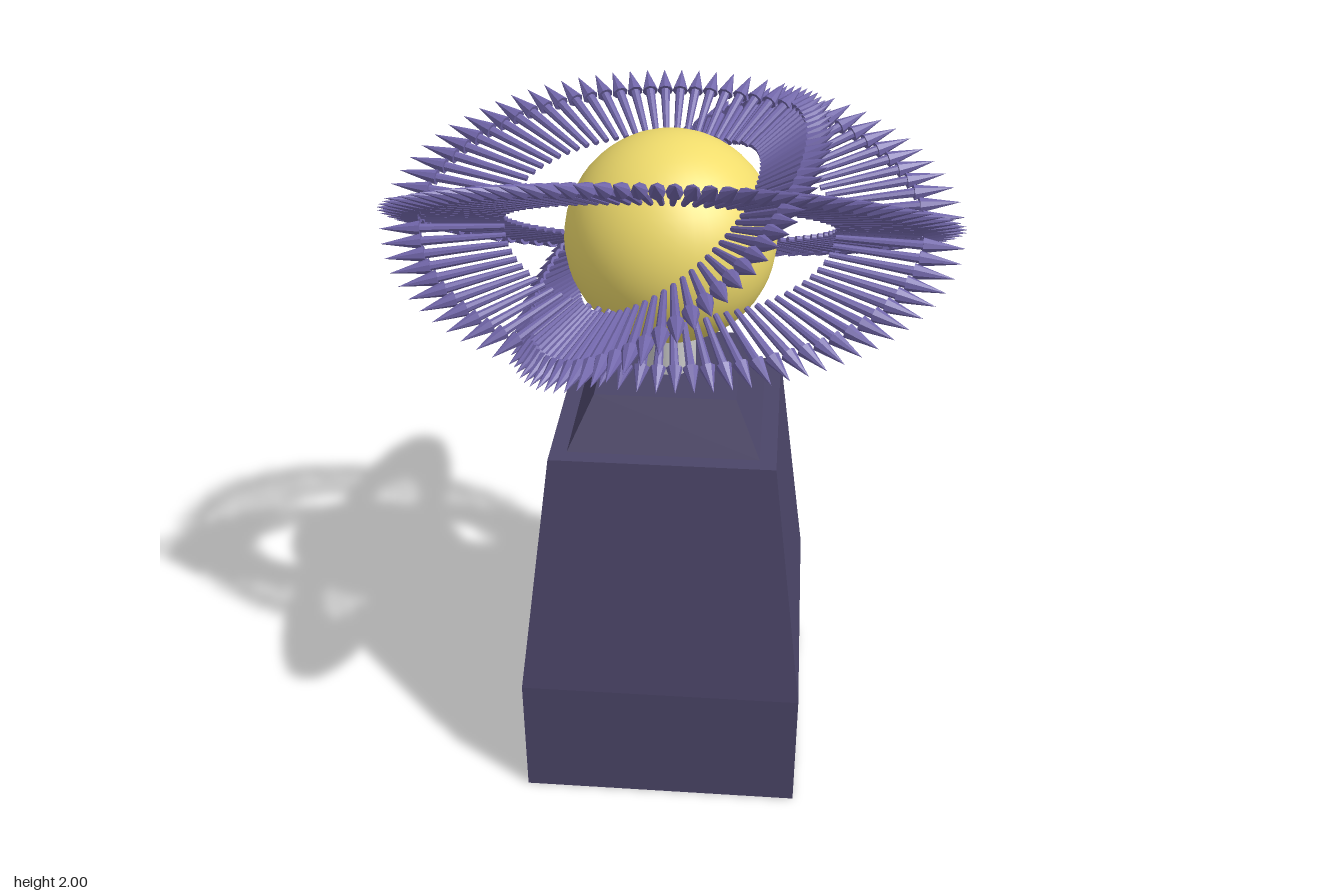
import * as THREE from 'three';
import { mergeGeometries } from 'three/addons/utils/BufferGeometryUtils.js';

const V2 = (x, y) => new THREE.Vector2(x, y);

// One dart: thin shaft widening outwards, then a cone tip; runs along +y
function spikeGeometry(length) {
  const profile = [[0, 0], [0.008, 0], [0.013, 0.67], [0.022, 0.67], [0, 1]];
  return new THREE.LatheGeometry(profile.map(([r, t]) => V2(r, t * length)), 8);
}

// Elliptical ring of radial spikes; longAxis and shortAxis are unit vectors
function spikeRing(name, longAxis, shortAxis, material) {
  const count = 84, inner = 0.565;
  const outline = new THREE.EllipseCurve(0, 0, 0.8, 0.516);
  outline.arcLengthDivisions = 800;
  const up = new THREE.Vector3(0, 1, 0);
  const spikes = outline.getSpacedPoints(count).slice(0, count).map((p) => {
    const tip = longAxis.clone().multiplyScalar(p.x).addScaledVector(shortAxis, p.y);
    const spike = spikeGeometry(tip.length() * (1 - inner));
    spike.applyQuaternion(new THREE.Quaternion().setFromUnitVectors(up, tip.clone().normalize()));
    return spike.translate(tip.x * inner, tip.y * inner, tip.z * inner);
  });
  const ring = new THREE.Mesh(mergeGeometries(spikes), material);
  ring.name = name;
  ring.position.y = 1.715;
  return ring;
}

export function createModel() {
  const model = new THREE.Group();
  model.name = 'spikedOrbMonument';
  const stone = new THREE.MeshStandardMaterial({ color: 0x4b4568, flatShading: true });
  const violet = new THREE.MeshStandardMaterial({ color: 0x7166aa, flatShading: true });
  const gold = new THREE.MeshStandardMaterial({ color: 0xf0dc6c });
  const grey = new THREE.MeshStandardMaterial({ color: 0xcccccc });

  const add = (name, geometry, material, y) => {
    const mesh = new THREE.Mesh(geometry, material);
    mesh.name = name;
    mesh.position.set(0.004, y, 0.008);
    model.add(mesh);
  };

  // Square pedestal: half widths by height
  const steps = [[0, 0], [0.41, 0], [0.41, 0.39], [0.315, 1.14], [0.268, 1.14], [0.197, 1.287], [0, 1.287]];
  const pedestal = new THREE.LatheGeometry(
    steps.map(([half, y]) => V2(half * Math.SQRT2, y)), 4, Math.PI / 4);
  add('pedestal', pedestal, stone, 0);

  // Post and orb
  add('post', new THREE.CylinderGeometry(0.072, 0.072, 0.16, 24), grey, 1.36);
  add('orb', new THREE.SphereGeometry(0.29, 40, 28), gold, 1.68);

  // Two crossing rings along x, one tilted ring along z
  const X = new THREE.Vector3(1, 0, 0), Z = new THREE.Vector3(0, 0, 1);
  const rise = 0.285, run = 0.43;
  for (const [name, side] of [['ringFrontHigh', 1], ['ringBackHigh', -1]])
    model.add(spikeRing(name, X, new THREE.Vector3(0, rise, side * run).normalize(), violet));
  model.add(spikeRing('ringLeftHigh', Z, new THREE.Vector3(run, rise, 0).normalize(), violet));

  return model;
}
